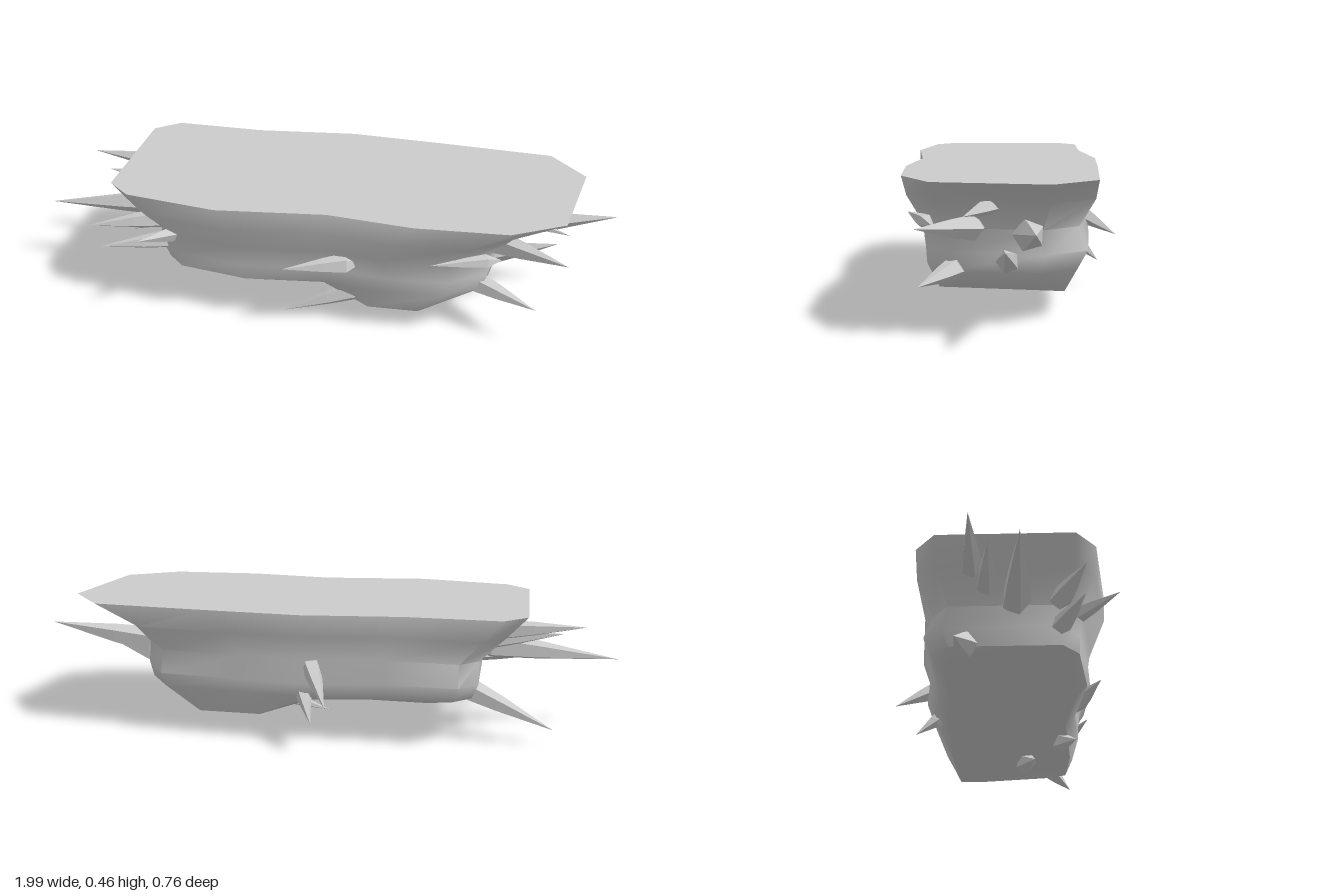
import * as THREE from 'three';
import { toCreasedNormals } from 'three/addons/utils/BufferGeometryUtils.js';

// Rim outline, paired front and back from left end to right end: [x, z]
const FRONT = [[-0.69, 0.24], [-0.61, 0.305], [-0.3, 0.345], [0.06, 0.3], [0.34, 0.325], [0.64, 0.305], [0.81, 0.21]];
const BACK = [[-0.69, -0.19], [-0.61, -0.255], [-0.3, -0.255], [0.04, -0.295], [0.36, -0.283], [0.75, -0.263], [0.87, -0.13]];
const FLOOR = [0.15, 0.15, 0.15, 0.147, 0.08, 0.075, 0.1];

// Each level: y (null = floor height), x scale on -x and +x, z scale at front and back
const LEVELS = [
  [0.463, 1, 1, 1, 1],
  [0.39, 0.9, 0.8, 1, 1],
  [0.3, 0.78, 0.71, 0.86, 0.83],
  [0.225, 0.78, 0.71, 0.83, 0.93],
  [0.17, 0.75, 0.7, 0.82, 0.82],
  [null, 0.61, 0.56, 0.72, 0.68],
];

// Tip, base and radius of every spike
const SPIKES = [
  // +x end
  [[0.99, 0.345, -0.085], [0.52, 0.27, -0.06], 0.05],
  [[0.83, 0.37, 0.115], [0.58, 0.378, 0.02], 0.028],
  [[0.8, 0.265, 0], [0.52, 0.18, -0.005], 0.038],
  [[0.745, 0.155, 0.25], [0.5, 0.18, 0.13], 0.036],
  [[0.83, 0.335, 0.25], [0.54, 0.3, 0.06], 0.042],
  // Front
  [[0.4, 0.325, 0.315], [0.62, 0.315, 0.22], 0.024],
  [[-0.08, 0.263, 0.34], [0.17, 0.26, 0.24], 0.035],
  [[-0.56, 0.33, 0.378], [-0.46, 0.29, 0.22], 0.027],
  // Underside
  [[0.01, 0.005, 0.107], [0.3, 0.1, 0.06], 0.036],
  [[-0.1, 0.032, 0.245], [0.2, 0.14, 0.19], 0.034],
  // -x end
  [[-1, 0.265, 0.075], [-0.45, 0.31, 0.05], 0.048],
  [[-0.88, 0.41, -0.075], [-0.54, 0.385, -0.08], 0.034],
  [[-0.81, 0.37, -0.02], [-0.52, 0.34, -0.04], 0.034],
  [[-0.79, 0.06, -0.115], [-0.42, 0.22, -0.1], 0.042],
  [[-0.75, 0.215, 0.26], [-0.45, 0.24, 0.17], 0.034],
  [[-0.78, 0.3, 0.265], [-0.48, 0.32, 0.17], 0.036],
  // Back
  [[-0.06, 0.18, -0.378], [0.03, 0.3, -0.2], 0.034],
  [[0, 0.097, -0.31], [0.06, 0.22, -0.19], 0.032],
];

function bodyGeometry() {
  const columns = FRONT.length, n = columns * 2;
  const outline = [...FRONT, ...[...BACK].reverse()];
  const pos = [], idx = [];
  for (const [y, left, right, front, back] of LEVELS) {
    outline.forEach(([x, z], i) => {
      const column = i < columns ? i : n - 1 - i;
      pos.push(x * (x < 0 ? left : right), y ?? FLOOR[column], z * (z > 0 ? front : back));
    });
  }
  // Walls
  const last = (LEVELS.length - 1) * n;
  for (let base = 0; base < last; base += n) {
    for (let i = 0; i < n; i++) {
      const a = base + i, b = base + (i + 1) % n, c = a + n, d = b + n;
      idx.push(c, d, b, c, b, a);
    }
  }
  // Flat top and lumpy underside, spanned front to back
  for (let i = 0; i < columns - 1; i++) {
    const f = i, f2 = i + 1, b = n - 1 - i, b2 = n - 2 - i;
    idx.push(f, f2, b2, f, b2, b);
    idx.push(last + f, last + b, last + b2, last + f, last + b2, last + f2);
  }
  const geo = new THREE.BufferGeometry();
  geo.setAttribute('position', new THREE.Float32BufferAttribute(pos, 3));
  geo.setIndex(idx);
  return toCreasedNormals(geo, 1);
}

// Five-sided crystal, widest near its base
function makeSpike([tip, base, radius], material) {
  const start = new THREE.Vector3(...base), axis = new THREE.Vector3(...tip).sub(start);
  const length = axis.length();
  const profile = [[0, 0], [radius, length * 0.22], [radius * 0.72, length * 0.5], [0, length]]
    .map(([r, y]) => new THREE.Vector2(r, y));
  const spike = new THREE.Mesh(new THREE.LatheGeometry(profile, 5), material);
  spike.name = 'spike';
  spike.position.copy(start);
  spike.quaternion.setFromUnitVectors(new THREE.Vector3(0, 1, 0), axis.normalize());
  return spike;
}

export function createModel() {
  const model = new THREE.Group();
  model.name = 'spikedRockPlatform';

  const body = new THREE.Mesh(bodyGeometry(), new THREE.MeshStandardMaterial({ color: 0xcccccc }));
  body.name = 'rockBody';
  model.add(body);

  const spikes = new THREE.Group();
  spikes.name = 'spikes';
  const material = new THREE.MeshStandardMaterial({ color: 0xcccccc, flatShading: true });
  for (const spec of SPIKES) spikes.add(makeSpike(spec, material));
  model.add(spikes);
  return model;
}
